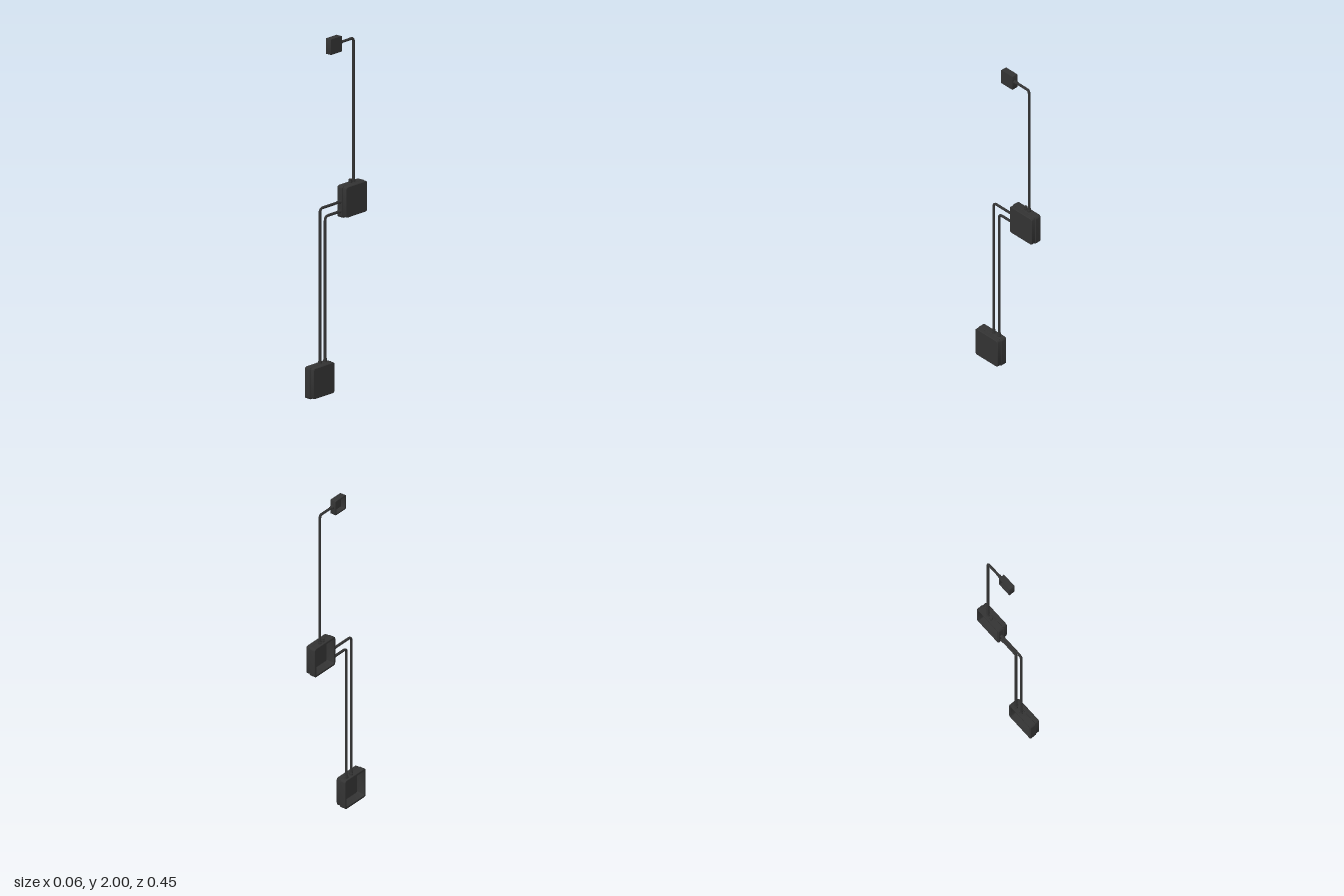
import * as THREE from 'three';
import { toCreasedNormals } from 'three/addons/utils/BufferGeometryUtils.js';

const material = new THREE.MeshStandardMaterial({ color: 0x333333 });
const PIPE_X = -0.0125;

function addMesh(parent, geometry, name) {
  const mesh = new THREE.Mesh(geometry, material);
  mesh.name = name;
  parent.add(mesh);
  return mesh;
}

// Points (z, y) around a square with rounded corners
function roundedSquare(half, radius, steps = 5) {
  const r = Math.min(radius, half), c = half - r, points = [];
  for (let k = 0; k < 4; k++) {
    const mid = (k + 0.5) * Math.PI / 2;
    const cz = Math.sign(Math.cos(mid)) * c, cy = Math.sign(Math.sin(mid)) * c;
    for (let s = 0; s <= steps; s++) {
      const a = (k + s / steps) * Math.PI / 2;
      points.push([cz + r * Math.cos(a), cy + r * Math.sin(a)]);
    }
  }
  return points;
}

// Skin through rounded-square sections along x; each is [x, half size, corner radius, y shift]
function loftBox(sections) {
  const positions = [], indices = [];
  let n = 0;
  for (const [x, half, radius, shift = 0] of sections) {
    const ring = roundedSquare(half, radius);
    n = ring.length;
    for (const [z, y] of ring) positions.push(x, y + shift, z);
  }
  for (let i = 0; i < sections.length - 1; i++) {
    for (let j = 0; j < n; j++) {
      const a = i * n + j, b = i * n + (j + 1) % n;
      indices.push(a, a + n, b, a + n, b + n, b);
    }
  }
  const geometry = new THREE.BufferGeometry();
  geometry.setAttribute('position', new THREE.Float32BufferAttribute(positions, 3));
  geometry.setIndex(indices);
  return toCreasedNormals(geometry, 0.5);
}

// Pipe in the plane x = PIPE_X: horizontal from the start, one bend, then down
function pipe(startZ, topY, dropZ, endY, bend) {
  const at = (y, z) => new THREE.Vector3(PIPE_X, y, z);
  const side = Math.sign(startZ - dropZ);
  const a = at(topY, dropZ + side * bend), b = at(topY - bend, dropZ);
  const path = new THREE.CurvePath();
  path.add(new THREE.LineCurve3(at(topY, startZ), a));
  path.add(new THREE.QuadraticBezierCurve3(a, at(topY, dropZ), b));
  path.add(new THREE.LineCurve3(b, at(endY, dropZ)));
  return new THREE.TubeGeometry(path, 220, 0.0075, 12);
}

// Stepped fitting standing on a face; tilt turns it from +y towards z
function fitting(parent, y, z, tilt, name) {
  const profile = [[0, 0], [0.0105, 0], [0.0105, 0.011], [0.009, 0.012], [0.009, 0.021], [0, 0.021]];
  const geometry = new THREE.LatheGeometry(profile.map(p => new THREE.Vector2(...p)), 16);
  const mesh = addMesh(parent, toCreasedNormals(geometry, 0.6), name);
  mesh.position.set(PIPE_X, y, z);
  mesh.rotation.x = tilt;
}

export function createModel() {
  const model = new THREE.Group();
  model.name = 'pipedBoxes';

  // Large junction boxes: open back, stepped cover on the +x side
  const largeSections = [
    [0.017, 0, 0], [0.017, 0.076, 0.008], [-0.033, 0.078, 0.008],
    [-0.033, 0.088, 0.012], [-0.031, 0.09, 0.014], [0.003, 0.09, 0.014], [0.005, 0.088, 0.013],
    [0.005, 0.085, 0.012, 0.002], [0.007, 0.087, 0.014, 0.002],
    [0.028, 0.087, 0.014, 0.002], [0.031, 0.084, 0.012, 0.002], [0.031, 0, 0, 0.002],
  ];
  const largeGeometry = loftBox(largeSections);
  for (const [name, y, z] of [['lowerBox', 0.09, 0.133], ['middleBox', 1.056, -0.133]]) {
    addMesh(model, largeGeometry, name).position.set(0, y, z);
  }

  // Small end box, also open at the back
  const smallSections = [
    [-0.005, 0, 0], [-0.005, 0.036, 0.002], [-0.033, 0.036, 0.002],
    [-0.033, 0.044, 0.002], [0.003, 0.044, 0.002], [0.003, 0, 0],
  ];
  addMesh(model, loftBox(smallSections), 'topBox').position.set(0, 1.956, 0.003);

  // Pipes linking the boxes
  addMesh(model, pipe(-0.04, 1.96, -0.154, 1.14, 0.02), 'upperPipe');
  addMesh(model, pipe(-0.045, 1.056, 0.12, 0.175, 0.024), 'outerLowerPipe');
  addMesh(model, pipe(-0.045, 1.002, 0.078, 0.175, 0.024), 'innerLowerPipe');

  // Fittings at the pipe ends, plus one spare on top of the middle box
  const up = 0, forward = Math.PI / 2, back = -Math.PI / 2;
  fitting(model, 1.96, -0.041, back, 'topBoxFitting');
  fitting(model, 1.145, -0.154, up, 'middleTopFitting');
  fitting(model, 1.145, -0.128, up, 'spareFitting');
  for (const [y, z] of [[1.056, 0.12], [1.002, 0.078]]) {
    fitting(model, y, -0.044, forward, 'middleFrontFitting');
    fitting(model, 0.179, z, up, 'lowerFitting');
  }

  return model;
}
